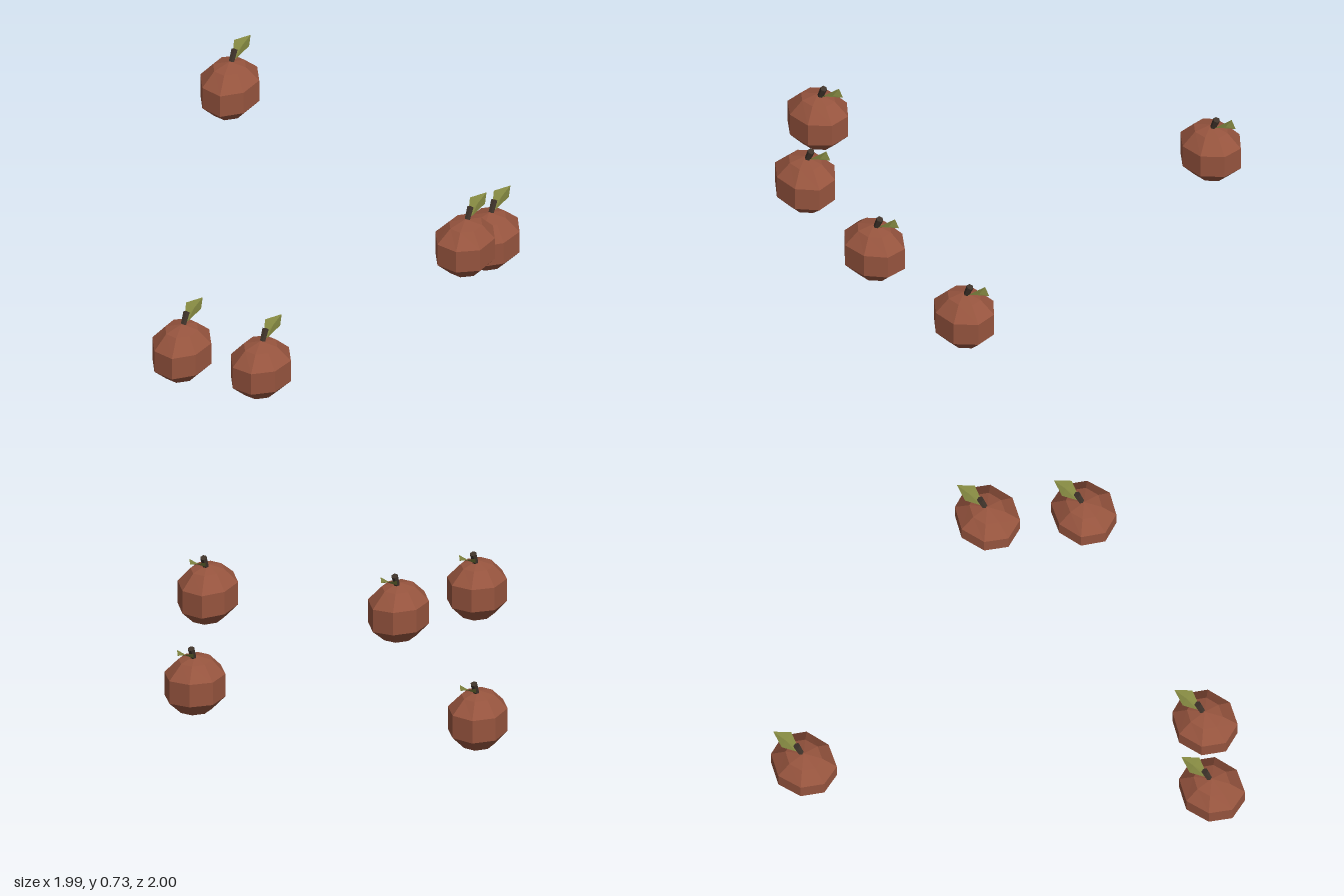
import * as THREE from 'three';

const skin = new THREE.MeshStandardMaterial({ name: 'skin', color: 0x96543e, flatShading: true });
const bark = new THREE.MeshStandardMaterial({ name: 'bark', color: 0x40342b, flatShading: true });
const foliage = new THREE.MeshStandardMaterial({
  name: 'foliage', color: 0x80843f, flatShading: true, side: THREE.DoubleSide,
});

// Eight-sided faceted body, a little narrower front to back, gently uneven
function bodyGeometry(seed) {
  const apothem = Math.cos(Math.PI / 8);
  const profile = [[0, -0.149], [0.082, -0.126], [0.148, -0.058], [0.148, 0.058], [0.082, 0.126], [0, 0.149]]
    .map(([r, y]) => new THREE.Vector2(r / apothem, y));
  const geometry = new THREE.LatheGeometry(profile, 8, Math.PI / 8);
  geometry.scale(1, 1, 0.87);
  const p = geometry.attributes.position;
  for (let i = 0; i < p.count; i++) {
    const x = p.getX(i), y = p.getY(i), z = p.getZ(i);
    const k = 1 + 0.018 * Math.sin(17 * x + 23 * z + seed * 2.1);
    p.setXYZ(i, x * k, y + 0.06 * x * Math.sin(seed * 1.7 + 9 * z) * (1 - Math.abs(y) / 0.149), z * k);
  }
  geometry.computeVertexNormals();
  return geometry;
}

// Diamond leaf folded down along its midrib
function leafGeometry() {
  const geometry = new THREE.BufferGeometry();
  geometry.setAttribute('position', new THREE.Float32BufferAttribute([
    0.035, 0.150, 0.010, 0.035, 0.150, -0.010, // base
    0.095, 0.203, 0.044, 0.100, 0.187, 0, 0.095, 0.203, -0.044, // middle
    0.167, 0.211, 0, // tip
  ], 3));
  geometry.setIndex([0, 2, 3, 0, 3, 1, 1, 3, 4, 2, 5, 3, 3, 5, 4]);
  geometry.computeVertexNormals();
  return geometry;
}

function makeFruit(x, y, z, seed) {
  const fruit = new THREE.Group();
  fruit.name = 'fruit';
  fruit.position.set(x, y, z);

  const body = new THREE.Mesh(bodyGeometry(seed), skin);
  body.name = 'body';

  const stem = new THREE.Mesh(new THREE.CylinderGeometry(0.017, 0.014, 0.075, 6), bark);
  stem.name = 'stem';
  stem.position.set(0.024, 0.162, 0);
  stem.rotation.z = -0.4;

  const leaf = new THREE.Mesh(leafGeometry(), foliage);
  leaf.name = 'leaf';

  fruit.add(body, stem, leaf);
  return fruit;
}

export function createModel() {
  const model = new THREE.Group();
  model.name = 'scatteredFruit';
  [
    [-0.85, 0.25, 0.08],
    [-0.63, 0.155, 0.38],
    [0.33, 0.522, 0.87],
    [0.82, 0.457, -0.87],
    [0.757, 0.26, 0.695],
  ].forEach(([x, y, z], i) => model.add(makeFruit(x, y, z, i + 1)));
  return model;
}
